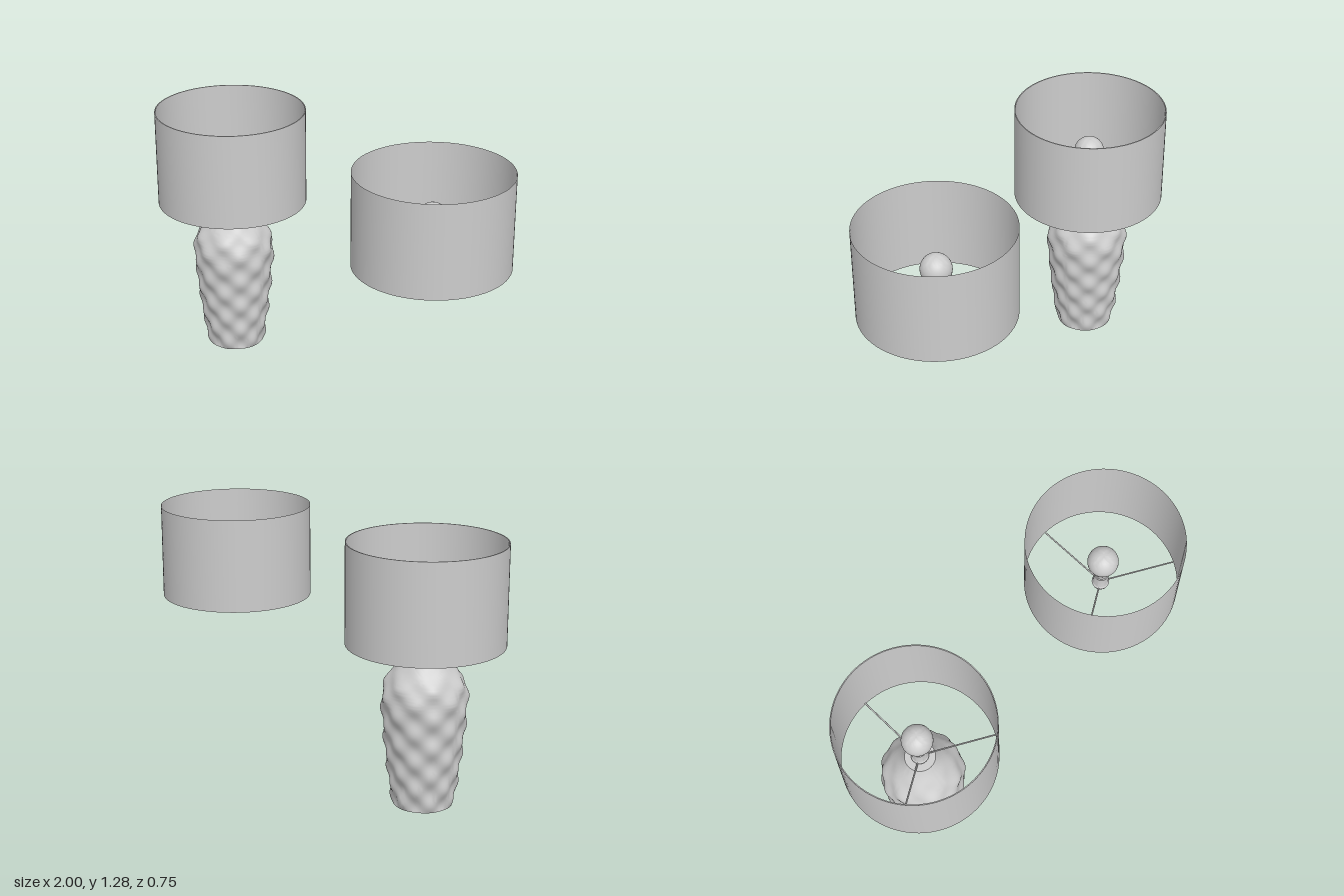
import * as THREE from 'three';
import { mergeVertices, toCreasedNormals } from 'three/addons/utils/BufferGeometryUtils.js';

const CENTER_X = 0.624;
const SHADE_R = 0.376;

const v2 = (list) => list.map(([x, y]) => new THREE.Vector2(x, y));

// Lathe with smooth sides and sharp rims
function lathe(points, segments, crease = 0.6) {
  return toCreasedNormals(new THREE.LatheGeometry(v2(points), segments), crease);
}

function named(name, geometry, material) {
  const mesh = new THREE.Mesh(geometry, material);
  mesh.name = name;
  return mesh;
}

// Vase body: turned profile with staggered bumps and dimples
function vaseGeometry() {
  const curve = new THREE.SplineCurve(v2([
    [0.142, 0], [0.158, 0.1], [0.171, 0.2], [0.183, 0.3], [0.192, 0.4], [0.2, 0.5],
    [0.198, 0.56], [0.181, 0.62], [0.134, 0.69], [0.095, 0.745], [0.074, 0.783],
  ]));
  const side = curve.getPoints(90);
  const points = [new THREE.Vector2(0, 0), ...side, new THREE.Vector2(0, 0.783)];
  let geo = new THREE.LatheGeometry(points, 98);
  const pos = geo.attributes.position;
  for (let i = 0; i < pos.count; i++) {
    const x = pos.getX(i), y = pos.getY(i), z = pos.getZ(i);
    const r = Math.hypot(x, z);
    if (r < 0.001) continue;
    const fade = 1 - THREE.MathUtils.smoothstep(y, 0.58, 0.74);
    const bump = 0.0095 * fade * Math.cos(7 * Math.atan2(x, z))
      * Math.cos((2 * Math.PI * (y - 0.545)) / 0.146);
    const k = (r + bump) / r;
    pos.setXYZ(i, x * k, y, z * k);
  }
  geo.deleteAttribute('uv');
  geo.deleteAttribute('normal');
  geo = mergeVertices(geo, 1e-5);
  return toCreasedNormals(geo, 0.8);
}

// Socket, bulb and three spokes holding the shade
function fixture(material) {
  const group = new THREE.Group();
  group.name = 'fixture';
  group.add(named('socket', lathe([
    [0, 0.783], [0.03, 0.783], [0.04, 0.792], [0.043, 0.803], [0.037, 0.812],
    [0.037, 0.893], [0.032, 0.9], [0, 0.9],
  ], 32), material));

  const bulb = [[0.033, 0.898], [0.036, 0.92], [0.045, 0.95], [0.058, 0.985]];
  for (let i = 0; i <= 14; i++) {
    const a = -0.5 + (i / 14) * (Math.PI / 2 + 0.5);
    bulb.push([Math.max(0, 0.075 * Math.cos(a)), 1.036 + 0.075 * Math.sin(a)]);
  }
  group.add(named('bulb', lathe(bulb, 40, 0.9), material));

  for (let i = 0; i < 3; i++) {
    const geo = new THREE.CylinderGeometry(0.004, 0.004, SHADE_R - 0.034, 8);
    geo.rotateX(Math.PI / 2);
    geo.translate(0, 0.804, -(SHADE_R + 0.03) / 2);
    geo.rotateY((i * 2 * Math.PI) / 3);
    group.add(named('spoke', geo, material));
  }
  return group;
}

export function createModel() {
  const model = new THREE.Group();
  model.name = 'lampAndSpareShade';
  const grey = new THREE.MeshStandardMaterial({ color: 0xcccccc });
  grey.name = 'light grey';
  const greyThin = grey;
  greyThin.side = THREE.DoubleSide;

  // Table lamp with a double-walled shade
  const lamp = new THREE.Group();
  lamp.name = 'tableLamp';
  lamp.position.x = -CENTER_X;
  const inner = SHADE_R - 0.005;
  lamp.add(named('vase', vaseGeometry(), grey));
  lamp.add(named('lampShade', lathe([
    [inner, 0.793], [SHADE_R, 0.793], [SHADE_R, 1.277], [inner, 1.277], [inner, 0.793],
  ], 96), grey));
  lamp.add(fixture(grey));
  model.add(lamp);

  // Spare shade, a single thin wall
  const spare = new THREE.Group();
  spare.name = 'spareShade';
  spare.position.x = CENTER_X;
  spare.add(named('shade',
    new THREE.CylinderGeometry(SHADE_R, SHADE_R, 0.463, 96, 1, true).translate(0, 1.0335, 0), greyThin));
  spare.add(fixture(grey));
  model.add(spare);

  return model;
}
